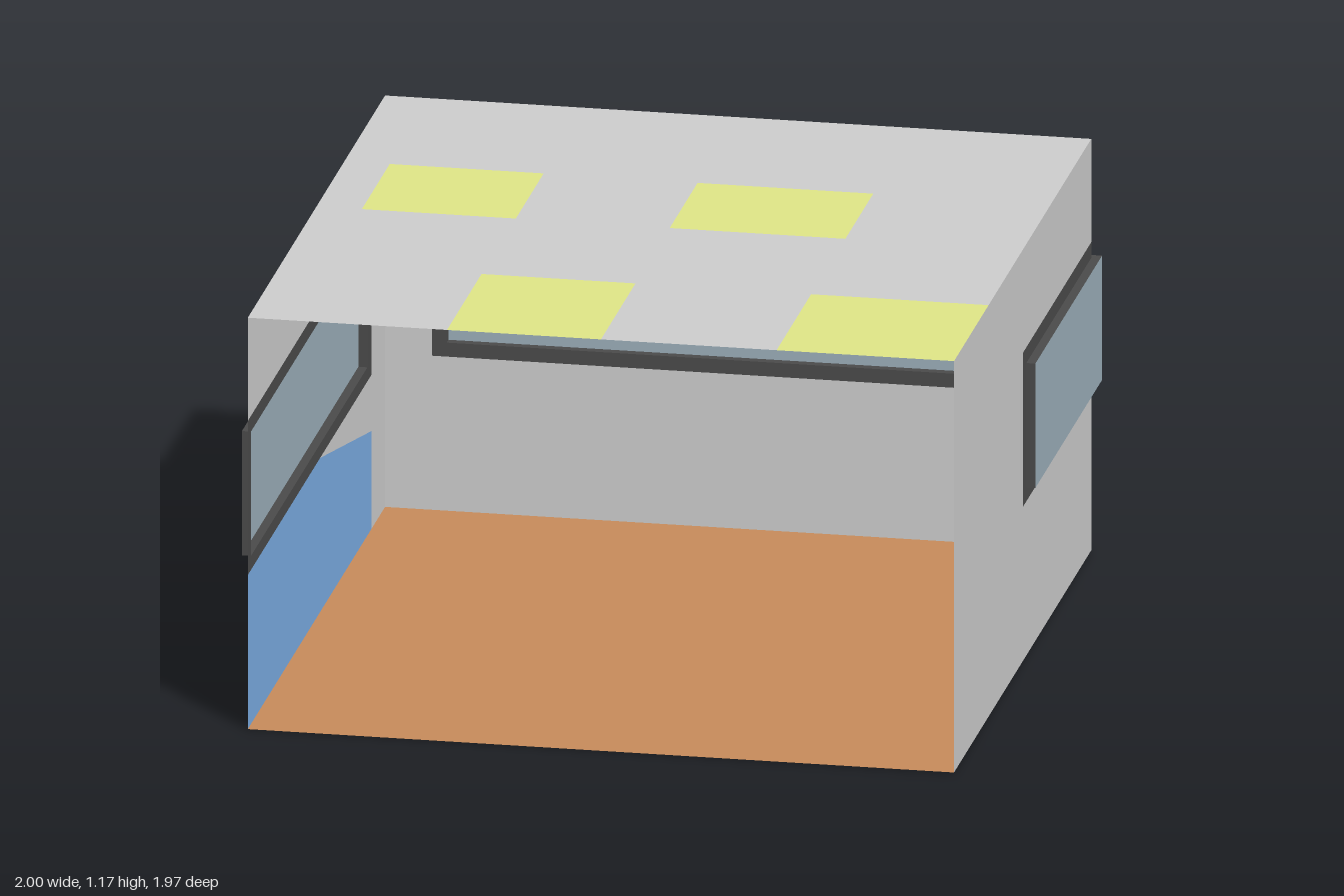
import * as THREE from 'three';

const X = 0.975, BACK = -0.96, FRONT = 0.985, H = 1.175; // room shell
const OUT = 0.025;                                      // window projection
const F0 = 0.44, F1 = 0.88, G0 = 0.48, G1 = 0.835;      // frame and glass heights

const mat = (color) => new THREE.MeshStandardMaterial({ color, side: THREE.DoubleSide, flatShading: true });

export function createModel() {
  const model = new THREE.Group();
  const grey = mat(0xcccccc), dark = mat(0x4a4a4a), glass = mat(0x9aadb8);
  const blue = mat(0x7aabe1), wood = mat(0xc58a5a), lime = mat(0xdde485);

  // Flat sheet: a 2D outline (u, v), optionally with a hole, placed by a mapping
  function sheet(name, material, place, outline, hole) {
    const toV = (pts) => pts.map(([u, v]) => new THREE.Vector2(u, v));
    const shape = new THREE.Shape(toV(outline));
    if (hole) shape.holes.push(new THREE.Path(toV(hole)));
    const geo = new THREE.ShapeGeometry(shape);
    const pos = geo.attributes.position;
    for (let i = 0; i < pos.count; i++) pos.setXYZ(i, ...place(pos.getX(i), pos.getY(i)));
    geo.computeVertexNormals();
    add(name, material, geo);
  }

  // Strip of quads between two 3D polylines
  function ribbon(name, material, a, b) {
    const pts = [];
    for (let i = 0; i < a.length - 1; i++) pts.push(...a[i], ...a[i + 1], ...b[i + 1], ...a[i], ...b[i + 1], ...b[i]);
    const geo = new THREE.BufferGeometry();
    geo.setAttribute('position', new THREE.Float32BufferAttribute(pts, 3));
    geo.computeVertexNormals();
    add(name, material, geo);
  }

  function add(name, material, geo) {
    const mesh = new THREE.Mesh(geo, material);
    mesh.name = name;
    model.add(mesh);
  }

  const rect = (u0, v0, u1, v1) => [[u0, v0], [u1, v0], [u1, v1], [u0, v1]];
  const onBack = (u, v) => [u, v, BACK];
  const onRight = (u, v) => [X, v, u];
  const onLeft = (u, v) => [-X, v, u];

  // Floor
  sheet('floor', wood, (u, v) => [u, 0, -v], rect(-X, -FRONT, X, -BACK));

  // Roof laid out in cells, four of them skylights
  const xs = [-X, -0.85, -0.425, 0, 0.485, X];
  const zs = [BACK, -0.385, 0.01, 0.495, FRONT];
  const skylights = ['1,1', '3,1', '2,3', '4,3'];
  for (let i = 0; i < xs.length - 1; i++) {
    for (let j = 0; j < zs.length - 1; j++) {
      const lit = skylights.includes(`${i},${j}`);
      sheet(lit ? 'skylight' : 'roof', lit ? lime : grey, (u, v) => [u, H, -v],
        rect(xs[i], -zs[j], xs[i + 1], -zs[j + 1]));
    }
  }

  // Back and side walls, each cut away where the corner window runs out to the edge:
  // [name, mapping, plain edge, corner edge, frame end, glass end]
  for (const [name, place, edge, corner, fEnd, gEnd] of [
    ['back', onBack, -X, X, -0.845, -0.805],
    ['right', onRight, FRONT, BACK, 0.01, -0.04],
  ]) {
    sheet(name + 'Wall', grey, place, [[edge, 0], [corner, 0], [corner, F0], [fEnd, F0],
      [fEnd, F1], [corner, F1], [corner, H], [edge, H]]);
    sheet(name + 'WindowFrame', dark, place, [[fEnd, F0], [corner, F0], [corner, G0], [gEnd, G0],
      [gEnd, G1], [corner, G1], [corner, F1], [fEnd, F1]]);
  }

  // Left wall with a sloping blue panel under its window
  const L0 = -0.765;
  sheet('leftWall', grey, onLeft, [[BACK, 0], [L0, 0], [L0, 0.28], [-0.04, F0], [L0, F0],
    [L0, F1], [FRONT, F1], [FRONT, H], [BACK, H]]);
  sheet('leftWallPanel', blue, onLeft, [[L0, 0], [FRONT, 0], [FRONT, F0], [-0.04, F0], [L0, 0.28]]);
  sheet('leftWindowFrame', dark, onLeft, rect(L0, F0, FRONT, F1), rect(-0.71, G0, 0.94, G1));

  // Projecting windows: glass along the outer plan line, dark reveals back to the wall
  function bayWindow(name, inner, outer) {
    const at = (path, y) => path.map(([x, z]) => [x, y, z]);
    ribbon(name + 'Glass', glass, at(outer, G0), at(outer, G1));
    for (const y of [G0, G1]) ribbon(name + 'Reveal', dark, at(inner, y), at(outer, y));
    for (const k of [0, inner.length - 1]) {
      const end = [inner[k], outer[k]];
      ribbon(name + 'Reveal', dark, at(end, G0), at(end, G1));
    }
  }
  bayWindow('cornerWindow',
    [[X, -0.04], [X, BACK], [-0.805, BACK]],
    [[X + OUT, -0.04], [X + OUT, BACK - OUT], [-0.805, BACK - OUT]]);
  bayWindow('leftWindow', [[-X, -0.71], [-X, 0.94]], [[-X - OUT, -0.71], [-X - OUT, 0.94]]);

  return model;
}
